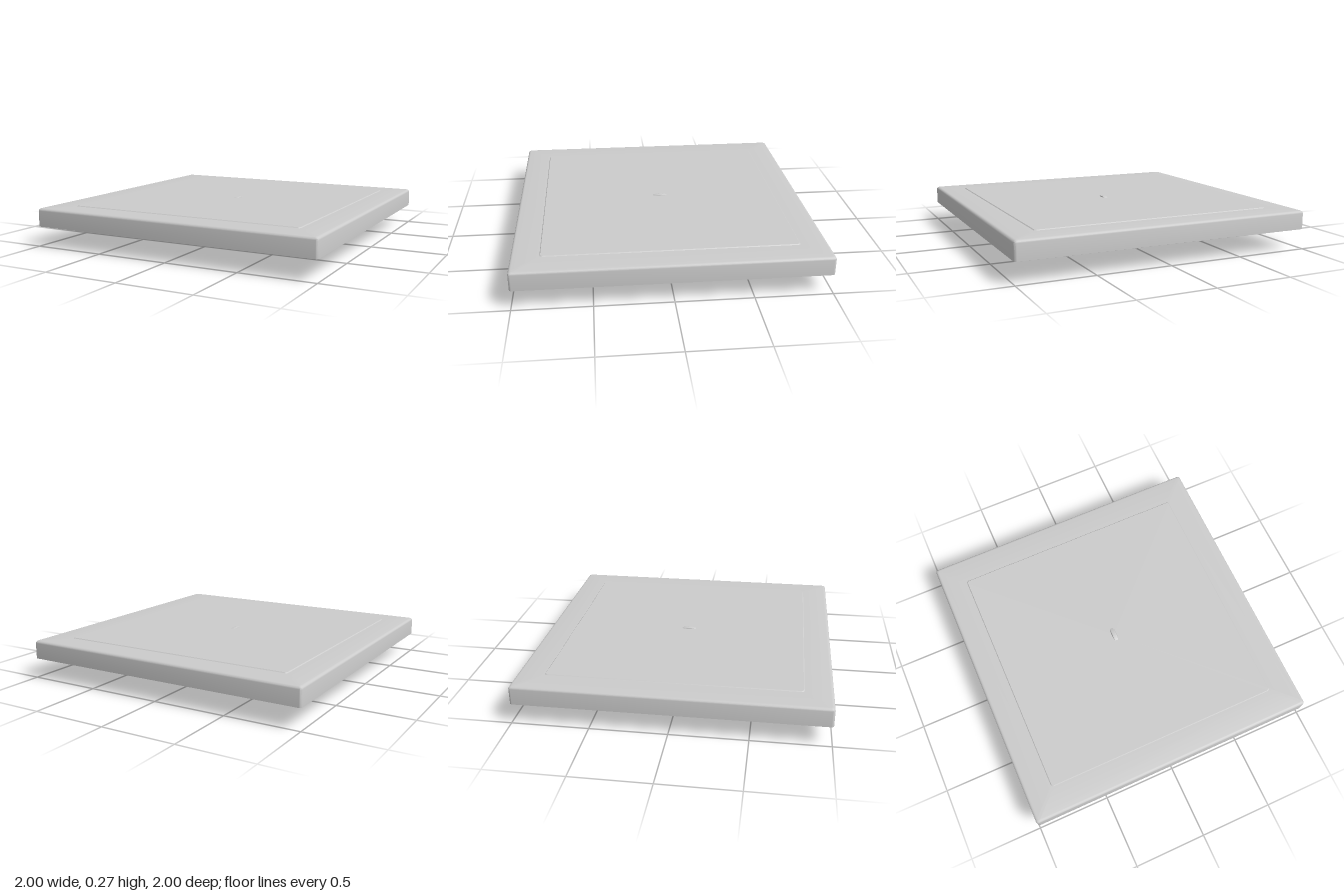
import * as THREE from 'three';
import { toCreasedNormals } from 'three/addons/utils/BufferGeometryUtils.js';

const grey = new THREE.MeshStandardMaterial({ color: 0xcccccc, side: THREE.DoubleSide });
const AXLE_Y = 0.137;

// Skin nested rounded squares, each given as [half width, height]
function squareLoft(loops, radius, steps) {
  const positions = [], index = [], n = 4 * (steps + 1);
  for (const [half, y] of loops) {
    const r = Math.min(radius, half);
    for (let c = 0; c < 4; c++) {
      const sx = c === 0 || c === 3 ? 1 : -1, sz = c < 2 ? 1 : -1;
      for (let s = 0; s <= steps; s++) {
        const a = (c + s / steps) * Math.PI / 2;
        positions.push(sx * (half - r) + r * Math.cos(a), y, sz * (half - r) + r * Math.sin(a));
      }
    }
  }
  for (let l = 0; l < loops.length - 1; l++) {
    for (let i = 0; i < n; i++) {
      const a = l * n + i, b = l * n + (i + 1) % n;
      index.push(a, a + n, b, b, a + n, b + n);
    }
  }
  const g = new THREE.BufferGeometry();
  g.setAttribute('position', new THREE.Float32BufferAttribute(positions, 3));
  g.setIndex(index);
  return toCreasedNormals(g, 0.6);
}

// Turn a [radius, x] profile around the x axis
function turned(name, profile, segments) {
  const points = profile.map(([r, x]) => new THREE.Vector2(r, x));
  const g = toCreasedNormals(new THREE.LatheGeometry(points, segments), 0.6);
  g.rotateZ(-Math.PI / 2);
  const mesh = new THREE.Mesh(g, grey);
  mesh.name = name;
  mesh.position.y = AXLE_Y;
  return mesh;
}

export function createModel() {
  const model = new THREE.Group();
  model.name = 'trayWithWheel';

  // Open-bottomed shell: side wall, rounded top edge, raised centre panel
  const loops = [[1, 0.136], [1, 0.242]];
  for (let i = 1; i <= 4; i++) {
    const a = i / 4 * Math.PI / 2;
    loops.push([0.98 + 0.02 * Math.cos(a), 0.242 + 0.018 * Math.sin(a)]);
  }
  loops.push([0.82, 0.26], [0.815, 0.265], [0, 0.265]);
  const shell = new THREE.Mesh(squareLoft(loops, 0.016, 4), grey);
  shell.name = 'shell';
  model.add(shell);

  // Wheel with rounded rim, recessed ring and hub, the same on both faces
  const half = [
    [0, 0.024], [0.018, 0.024], [0.02, 0.016], [0.073, 0.016], [0.077, 0.009],
    [0.098, 0.009], [0.102, 0.017], [0.129, 0.017], [0.135, 0.014], [0.137, 0.008],
  ];
  const mirrored = half.map(([r, x]) => [r, -x]);
  model.add(turned('wheel', [...mirrored, ...half.slice().reverse()], 64));

  // Thin axle through the wheel
  model.add(turned('axle', [[0, -0.42], [0.005, -0.42], [0.005, 0.42], [0, 0.42]], 16));

  // Thicker end rods, each with a flared collar at the inner end
  for (const side of [1, -1]) {
    const rod = turned(side > 0 ? 'leftAxleEnd' : 'rightAxleEnd', [
      [0, 0.405], [0.017, 0.405], [0.017, 0.415], [0.012, 0.425],
      [0.012, 0.67], [0.008, 0.678], [0, 0.678],
    ], 20);
    if (side < 0) rod.rotation.y = Math.PI;
    model.add(rod);
  }
  return model;
}
